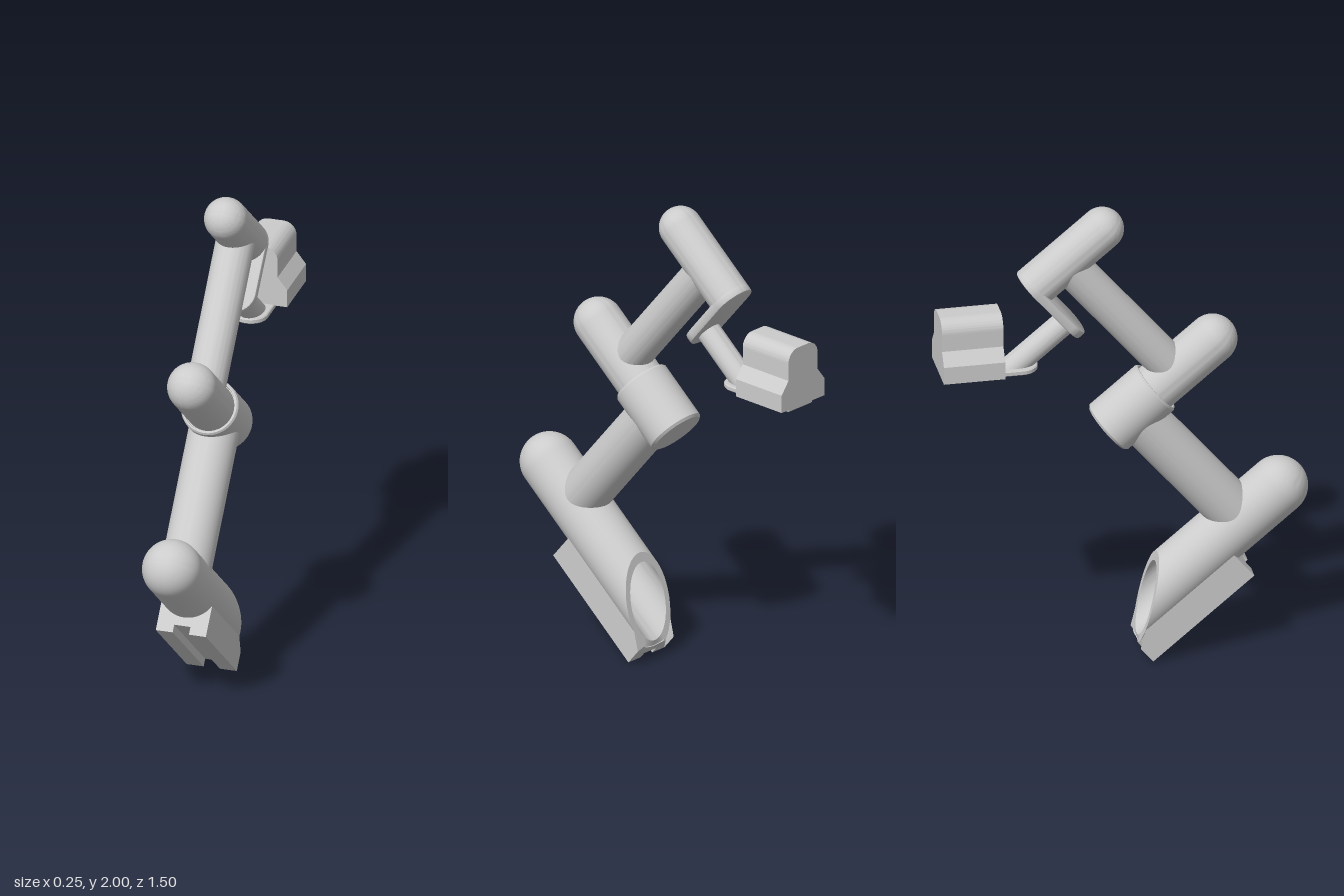
import * as THREE from 'three';
import { toCreasedNormals } from 'three/addons/utils/BufferGeometryUtils.js';

const material = new THREE.MeshStandardMaterial({ color: 0xcccccc });
const TILT = THREE.MathUtils.degToRad(40);

function addPart(parent, name, geometry) {
  const mesh = new THREE.Mesh(toCreasedNormals(geometry, 0.5), material);
  mesh.name = name;
  parent.add(mesh);
  return mesh;
}

// Move every vertex by a rule
function reshape(geometry, rule) {
  const p = geometry.attributes.position;
  const v = new THREE.Vector3();
  for (let i = 0; i < p.count; i++) {
    rule(v.fromBufferAttribute(p, i));
    p.setXYZ(i, v.x, v.y, v.z);
  }
  return geometry;
}

// Lathe around the joint axis, which runs towards -z
function turned(points) {
  const profile = points.map(([r, s]) => new THREE.Vector2(r, s));
  return new THREE.LatheGeometry(profile, 64).rotateX(-Math.PI / 2);
}

// Profile of a domed end of radius r, centred at s
function dome(r, s) {
  const points = [];
  for (let i = 0; i <= 16; i++) {
    const a = (i / 16) * Math.PI / 2;
    points.push([i ? r * Math.sin(a) : 0, s - r * Math.cos(a)]);
  }
  return points;
}

// Round link standing across the joint axes
function link(r, s, from, to) {
  return new THREE.CylinderGeometry(r, r, to - from, 64).translate(0, (from + to) / 2, -s);
}

// Slanted cut at the foot of the base
const footCut = (h) => Math.min(0.847, 0.539 + 1.36 * (0.12 - h));

export function createModel() {
  const model = new THREE.Group();
  model.name = 'robotArm';

  // Tilted frame: y runs along the links, -z along the joint axes
  const arm = new THREE.Group();
  arm.name = 'tiltedArm';
  arm.rotation.x = -TILT;
  arm.position.set(0, 0.69, 0.635);
  model.add(arm);

  // Base tube with domed shoulder and hollow, slanted foot
  const tube = turned([...dome(0.12, 0), [0.12, 1], [0.096, 1], [0.096, 0.53], [0, 0.53]]);
  addPart(arm, 'baseTube', reshape(tube, (v) => {
    if (v.z < -0.9) v.z = -footCut(v.y);
  }));

  // Mounting block under the tube, grooved along its bottom
  const block = new THREE.Shape();
  block.moveTo(-0.105, -0.187);
  [[-0.034, -0.187], [-0.034, -0.155], [0.034, -0.155], [0.034, -0.187],
    [0.105, -0.187], [0.105, -0.107], [0.105, -0.047]].forEach(([x, y]) => block.lineTo(x, y));
  const a = Math.atan2(-0.047, 0.105);
  block.absarc(0, 0, 0.115, a, -Math.PI - a, true);
  block.lineTo(-0.105, -0.107);
  const blockGeometry = new THREE.ExtrudeGeometry(block, {
    depth: 0.537, bevelEnabled: false, curveSegments: 24,
  }).translate(0, 0, -0.847);
  addPart(arm, 'mountingBlock', reshape(blockGeometry, (v) => {
    if (v.z < -0.8) v.z = -footCut(v.y);
  }));

  // Lower and upper links
  addPart(arm, 'lowerLink', link(0.102, 0.2, 0, 0.68));
  addPart(arm, 'upperLink', link(0.079, -0.037, 0.7, 1.39));

  // Elbow: domed tube seated in a wider housing
  addPart(arm, 'elbowTube', turned([...dome(0.1, -0.235), [0.1, 0.15], [0, 0.15]]))
    .position.y = 0.696;
  addPart(arm, 'elbowHousing', turned([
    [0, 0.075], [0.104, 0.075], [0.106, 0.065], [0.112, 0.065], [0.118, 0.073],
    [0.118, 0.315], [0.108, 0.325], [0, 0.325],
  ])).position.y = 0.696;

  // Wrist tube and the oval plate on its end
  addPart(arm, 'wristTube', turned([...dome(0.0875, -0.237), [0.0875, 0.12], [0, 0.12]]))
    .position.y = 1.397;
  const oval = new THREE.Shape();
  oval.absarc(0, 1.397, 0.0875, 0, Math.PI, false);
  oval.absarc(0, 1.185, 0.0855, Math.PI, 2 * Math.PI, false);
  oval.closePath();
  addPart(arm, 'wristPlate', new THREE.ExtrudeGeometry(oval, {
    depth: 0.024, bevelSize: 0.008, bevelThickness: 0.008, bevelOffset: -0.008,
    bevelSegments: 2, curveSegments: 32,
  }).translate(0, 0, -0.136));

  // Rod from the wrist plate, cut level where it meets the tool plate
  const rod = turned([[0, 0.12], [0.05, 0.12], [0.05, 1], [0, 1]]).translate(0, 1.185, 0);
  addPart(arm, 'wristRod', reshape(rod, (v) => {
    if (v.z < -0.9) v.z = (1.33 - 0.69 - v.y * Math.cos(TILT)) / Math.sin(TILT);
  }));

  // Level tool plate with a rounded front
  const plate = new THREE.Shape();
  plate.moveTo(-0.07, 0.735);
  plate.lineTo(-0.07, 0.415);
  plate.absarc(0, 0.415, 0.07, Math.PI, 2 * Math.PI, false);
  plate.lineTo(0.07, 0.735);
  addPart(model, 'toolPlate', new THREE.ExtrudeGeometry(plate, {
    depth: 0.014, bevelSize: 0.004, bevelThickness: 0.004, bevelOffset: -0.004,
    bevelSegments: 1, curveSegments: 32,
  }).rotateX(-Math.PI / 2).translate(0, 1.324, 0));

  // Tool body: wide foot, sloped shoulders, rounded top
  const body = new THREE.Shape();
  body.moveTo(-0.125, 1.34);
  body.lineTo(0.125, 1.34);
  body.lineTo(0.125, 1.415);
  body.lineTo(0.085, 1.467);
  body.absarc(0.03, 1.54, 0.055, 0, Math.PI / 2, false);
  body.absarc(-0.03, 1.54, 0.055, Math.PI / 2, Math.PI, false);
  body.lineTo(-0.085, 1.467);
  body.lineTo(-0.125, 1.415);
  addPart(model, 'toolBody', new THREE.ExtrudeGeometry(body, {
    depth: 0.25, bevelEnabled: false, curveSegments: 16,
  }).translate(0, 0, -0.75));

  return model;
}
